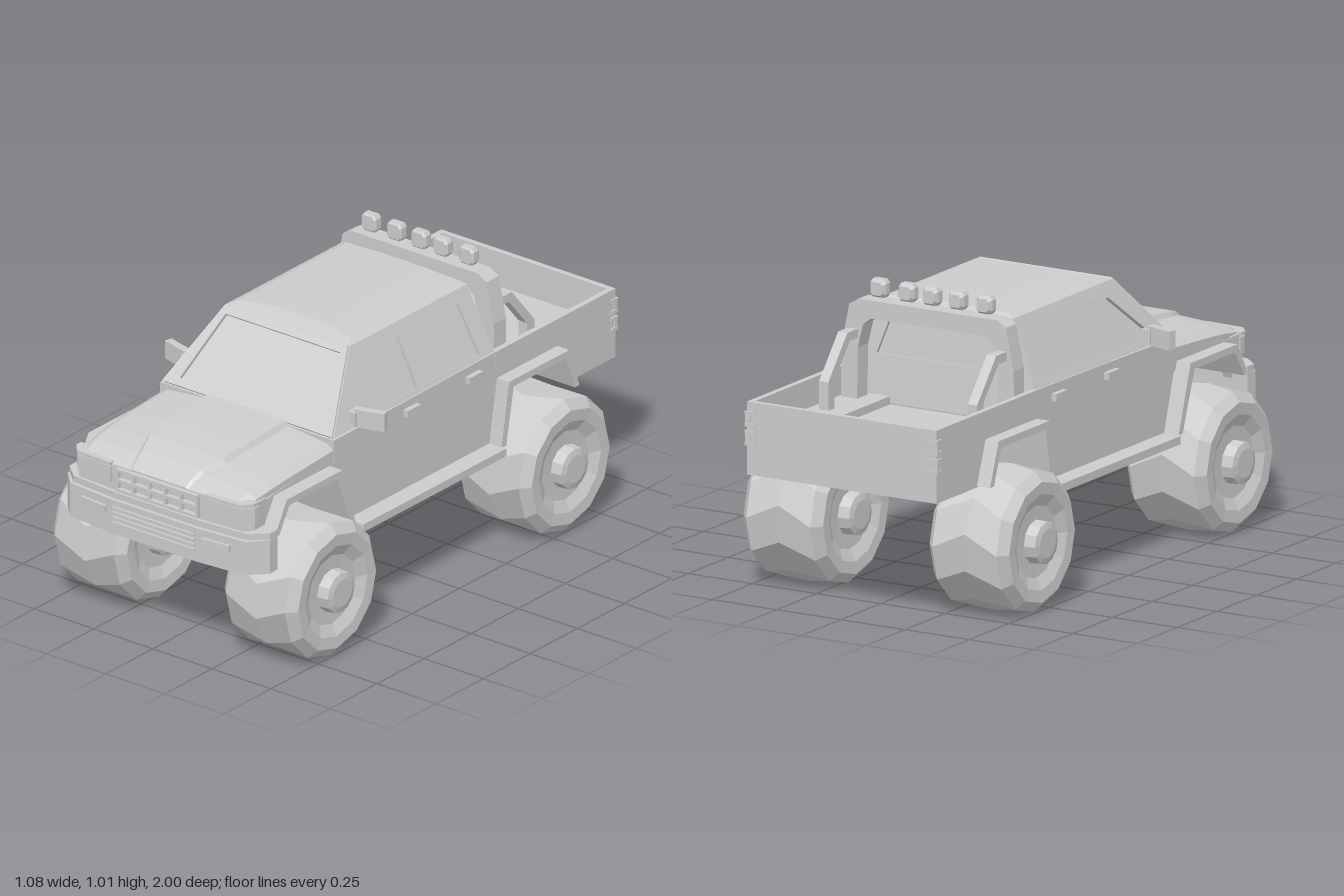
import * as THREE from 'three';
import { ConvexGeometry } from 'three/addons/geometries/ConvexGeometry.js';

const V = (x, y, z) => new THREE.Vector3(x, y, z);
const shapeOf = pts => new THREE.Shape(pts.map(p => new THREE.Vector2(p[0], p[1])));

// Skin over closed rings of points, one normal per quad, with fan caps on both ends
function loft(rings) {
  const n = rings[0].length, pos = [], nor = [];
  const face = (normal, ...pts) => pts.forEach(p => { pos.push(...p.toArray()); nor.push(...normal.toArray()); });
  const cross = (p, q, r, s) => q.clone().sub(p).cross(s.clone().sub(r)).normalize();
  const r = rings.map(ring => ring.map(p => V(...p)));
  for (let i = 0; i < r.length - 1; i++) for (let j = 0; j < n; j++) {
    const k = (j + 1) % n, a = r[i][j], b = r[i][k], c = r[i + 1][k], d = r[i + 1][j];
    const normal = cross(a, c, b, d);
    if (a.distanceTo(c) <= b.distanceTo(d)) face(normal, a, b, c, a, c, d);
    else face(normal, a, b, d, b, c, d);
  }
  for (const ring of [r[0].slice().reverse(), r[r.length - 1]]) {
    const c = ring.reduce((s, p) => s.add(p), V(0, 0, 0)).divideScalar(n);
    ring.forEach((p, j) => { const q = ring[(j + 1) % n]; face(cross(c, p, c, q), c, p, q); });
  }
  return new THREE.BufferGeometry()
    .setAttribute('position', new THREE.Float32BufferAttribute(pos, 3))
    .setAttribute('normal', new THREE.Float32BufferAttribute(nor, 3));
}

// Flat outline with holes, laid on the plane (origin, u, v) and thickened along u x v
function panel(origin, u, v, pts, depth, holes = []) {
  const s = shapeOf(pts);
  holes.forEach(h => s.holes.push(shapeOf(h)));
  const n = u.clone().cross(v).normalize();
  return new THREE.ExtrudeGeometry(s, { depth, bevelEnabled: false })
    .applyMatrix4(new THREE.Matrix4().makeBasis(u, v, n).setPosition(origin));
}
// Side profile of [z, y] points, running from x0 to x1
const profile = (pts, x0, x1) => panel(V(x0, 0, 0), V(0, 0, -1), V(0, 1, 0), pts.map(([z, y]) => [-z, y]), x1 - x0);
// Plan of [x, z] points, running from y0 to y1
const plan = (pts, y0, y1) => panel(V(0, y0, 0), V(1, 0, 0), V(0, 0, -1), pts.map(([x, z]) => [x, -z]), y1 - y0);
// Closes a half outline with its mirror image in x
const both = half => [...half, ...half.slice().reverse().map(([x, y]) => [-x, y])];
const box = (x0, x1, y0, y1, z0, z1) => new THREE.BoxGeometry(x1 - x0, y1 - y0, z1 - z0)
  .translate((x0 + x1) / 2, (y0 + y1) / 2, (z0 + z1) / 2);

// Mirror image in x, with the corner order put right
function flipped(geo) {
  const g = (geo.index ? geo.toNonIndexed() : geo.clone()).scale(-1, 1, 1), p = g.attributes.position;
  for (let i = 0; i < p.count; i += 3) {
    const a = V().fromBufferAttribute(p, i), b = V().fromBufferAttribute(p, i + 1);
    p.setXYZ(i, b.x, b.y, b.z); p.setXYZ(i + 1, a.x, a.y, a.z);
  }
  return g;
}

export function createModel() {
  const model = new THREE.Group();
  const mat = new THREE.MeshStandardMaterial({ color: 0xcccccc, side: THREE.DoubleSide });
  const add = (name, geo) => {
    const mesh = new THREE.Mesh(geo, mat);
    mesh.name = name;
    model.add(mesh);
  };
  const pair = (name, geo) => { add('left' + name, geo); add('right' + name, flipped(geo)); };

  // Wheels: middle tread ring is turned to give the chevron facets
  const wheelRing = (x, r, turn = 0) => Array.from({ length: 12 }, (_, j) => {
    const t = j / 12 * Math.PI * 2 + turn;
    return [x, r * Math.cos(t), r * Math.sin(t)];
  });
  const halfWheel = [[0.178, 0.05], [0.172, 0.072], [0.13, 0.075], [0.132, 0.125], [0.152, 0.165], [0.155, 0.207], [0.125, 0.24]];
  const wheel = loft([
    ...halfWheel.map(([x, r]) => wheelRing(-x, r)), wheelRing(0, 0.245, 0.24),
    ...halfWheel.slice().reverse().map(([x, r]) => wheelRing(x, r))]);
  for (const [name, z] of [['FrontWheel', 0.67], ['RearWheel', -0.57]])
    pair(name, wheel.clone().translate(0.3625, 0.245, z));

  // Lower cab and running boards
  add('cabBody', profile([[0.435, 0.372], [0.5, 0.58], [0.5, 0.69], [-0.36, 0.7], [-0.37, 0.58], [-0.335, 0.372]], -0.368, 0.368));
  pair('RunningBoard', box(0.36, 0.437, 0.35, 0.378, -0.33, 0.43));

  // Glass core, with window frames standing proud of it
  const core = [];
  for (const s of [-1, 1]) core.push(V(s * 0.352, 0.69, 0.49), V(s * 0.352, 0.69, -0.35),
    V(s * 0.252, 0.92, 0.28), V(s * 0.252, 0.92, -0.325));
  add('cabGlass', new ConvexGeometry(core));
  pair('CabFrame', panel(V(0.352, 0.69, 0), V(0, 0, -1), V(-0.1 / 0.23, 1, 0),
    [[-0.495, 0], [0.36, 0], [0.335, 0.23], [-0.285, 0.23]], 0.013, [
      [[-0.405, 0.015], [-0.04, 0.015], [-0.05, 0.188], [-0.22, 0.182]],
      [[0.02, 0.02], [0.29, 0.02], [0.27, 0.188], [0.02, 0.188]]]));
  const endFrame = [[-0.358, 0], [0.358, 0], [0.258, 0.23], [-0.258, 0.23]];
  add('windscreenFrame', panel(V(0, 0.69, 0.49), V(1, 0, 0), V(0, 1, -0.21 / 0.23), endFrame, 0.012,
    [[[-0.3, 0.02], [0.3, 0.02], [0.243, 0.208], [-0.243, 0.208]]]));
  add('rearWindowFrame', panel(V(0, 0.69, -0.35), V(-1, 0, 0), V(0, 1, 0.025 / 0.23), endFrame, 0.012,
    [[[-0.26, 0.05], [0.26, 0.05], [0.21, 0.19], [-0.21, 0.19]]]));
  const roof = [];
  for (const s of [-1, 1]) roof.push(V(s * 0.272, 0.905, 0.29), V(s * 0.272, 0.905, -0.345), V(s * 0.262, 0.925, 0.28),
    V(s * 0.262, 0.925, -0.34), V(s * 0.235, 0.937, 0.245), V(s * 0.235, 0.937, -0.325),
    V(s * 0.1, 0.944, 0.22), V(s * 0.1, 0.942, -0.325));
  add('roof', new ConvexGeometry(roof));

  // Door handles and mirrors
  for (const z of [0.095, -0.235]) pair('DoorHandle', box(0.365, 0.387, 0.642, 0.668, z - 0.035, z + 0.035));
  pair('Mirror', box(-0.055, 0.055, 0.695, 0.76, -0.014, 0.014).rotateY(0.28).translate(0.408, 0, 0.355));
  pair('MirrorArm', box(0.335, 0.37, 0.7, 0.75, 0.345, 0.39));

  // Bonnet with raised centre, from cross-sections [z, width, edge height, top height, bulge width]
  const hood = [[0.5, 0.366, 0.672, 0.705, 0.165], [0.7, 0.366, 0.66, 0.694, 0.163], [0.82, 0.363, 0.649, 0.68, 0.155],
    [0.9, 0.358, 0.636, 0.66, 0.125], [0.945, 0.35, 0.62, 0.634, 0.115], [0.966, 0.335, 0.608, 0.614, 0.11]];
  add('bonnet', loft(hood.map(([z, w, low, top, bulge]) => both([[w, 0.575], [w, low - 0.018], [w - 0.03, low],
    [bulge + 0.012, low + (top - low) * 0.5], [bulge, top]]).map(([x, y]) => [x, y, z]))));
  pair('Fender', profile([[0.43, 0.38], [0.5, 0.59], [0.82, 0.59], [0.87, 0.47], [0.93, 0.47], [0.93, 0.6], [0.5, 0.64], [0.42, 0.6]], 0.33, 0.366));
  add('engineBay', box(-0.2, 0.2, 0.44, 0.62, 0.42, 0.93));
  add('skidPlate', box(-0.155, 0.155, 0.312, 0.45, 0.6, 0.72));
  add('skidPlateNose', loft([[0.33, 0.11, 0.78], [0.45, 0.125, 0.83]].map(([y, w, z]) =>
    [[w, y, z], [w, y, 0.71], [-w, y, 0.71], [-w, y, z]])));

  // Nose, grille and headlights
  add('nose', plan(both([[0.366, 0.86], [0.37, 0.925], [0.345, 0.955], [0.18, 0.965]]), 0.51, 0.612));
  for (const y of [0.53, 0.566, 0.602]) add('grilleBar', box(-0.172, 0.172, y - 0.005, y + 0.005, 0.955, 0.982));
  for (let i = 0; i < 6; i++) {
    const x = -0.168 + i * 0.0672;
    add('grilleSlat', box(x - 0.005, x + 0.005, 0.53, 0.602, 0.955, 0.98));
  }
  const lightPlan = [[0.2, 0.905], [0.2, 0.973], [0.345, 0.966], [0.376, 0.93], [0.376, 0.905]];
  pair('Headlight', plan(lightPlan, 0.545, 0.603));
  pair('HeadlightBrow', plan(lightPlan.map(([x, z]) => [x, z + 0.004]), 0.607, 0.619));

  // Front bumper with intake bars and lamps
  add('frontBumper', plan(both([[0.36, 0.87], [0.425, 0.87], [0.428, 0.915], [0.37, 0.975], [0.18, 0.992]]), 0.373, 0.495));
  add('bumperTop', plan(both([[0.36, 0.87], [0.425, 0.87], [0.425, 0.91], [0.365, 0.962], [0.18, 0.978]]), 0.495, 0.518));
  for (let i = 0; i < 4; i++) add('intakeBar', box(-0.172, 0.172, 0.412 + i * 0.018, 0.42 + i * 0.018, 0.985, 1));
  pair('BumperLamp', box(-0.055, 0.055, 0.442, 0.468, -0.008, 0.008).rotateY(0.1).translate(0.258, 0, 0.987));

  // Wheel arches: flares outside, housings inside
  const arch = (outer, inner) => profile([...outer, ...inner.slice().reverse()], 0.2, 0.42);
  pair('FrontArch', arch([[0.445, 0.375], [0.52, 0.605], [0.815, 0.605], [0.88, 0.49]],
    [[0.47, 0.375], [0.545, 0.58], [0.8, 0.58], [0.855, 0.49]]));
  pair('RearArch', arch([[-0.325, 0.375], [-0.365, 0.603], [-0.685, 0.603], [-0.74, 0.455]],
    [[-0.35, 0.375], [-0.39, 0.578], [-0.668, 0.578], [-0.715, 0.455]]));
  pair('HousingWall', box(0.2, 0.212, 0.45, 0.59, -0.68, -0.36));

  // Open load bed
  pair('BedSide', profile([[-0.335, 0.375], [-0.37, 0.59], [-0.68, 0.59], [-0.735, 0.45], [-0.99, 0.45], [-0.99, 0.7], [-0.36, 0.7]], 0.348, 0.369));
  add('bedFloor', box(-0.205, 0.205, 0.45, 0.575, -0.74, -0.34));
  add('bedRearFloor', profile([[-0.685, 0.575], [-0.735, 0.45], [-0.99, 0.45], [-0.99, 0.575]], -0.36, 0.36));
  add('tailgate', box(-0.369, 0.369, 0.45, 0.7, -0.995, -0.975));

  // Tail lights: two stacked brackets on each corner
  for (const y of [0.576, 0.641]) {
    pair('TailLightSpine', box(0.355, 0.375, y - 0.024, y + 0.024, -0.998, -0.985));
    for (const s of [-1, 1]) pair('TailLightProng', box(0.335, 0.376, y + s * 0.02 - 0.006, y + s * 0.02 + 0.006, -1, -0.968));
  }

  // Roll bar, rear struts and lamps
  const hoop = both([[0.338, 0.59], [0.335, 0.78], [0.305, 0.925], [0.27, 0.946]]);
  const hoopIn = both([[0.275, 0.59], [0.272, 0.78], [0.252, 0.86], [0.22, 0.885]]);
  add('rollBar', panel(V(0, 0, -0.455), V(1, 0, 0), V(0, 1, 0), [...hoop, ...hoopIn.reverse()], 0.065));
  pair('RollBarStrut', profile([[-0.45, 0.843], [-0.52, 0.843], [-0.64, 0.7], [-0.64, 0.59], [-0.6, 0.59], [-0.6, 0.7], [-0.505, 0.812], [-0.45, 0.812]], 0.272, 0.308));
  const lampRing = (w, z) => both([[0.7, -1], [1, -0.6], [1, 0.6], [0.7, 1]]).map(([x, y]) => [x * w, y * w, z]);
  const lamp = loft([lampRing(0.022, -0.022), lampRing(0.031, -0.008), lampRing(0.031, 0.016), lampRing(0.025, 0.022)]);
  for (const x of [-0.208, -0.1, 0.002, 0.095, 0.205]) add('roofLamp', lamp.clone().translate(x, 0.986, -0.425));
  return model;
}
